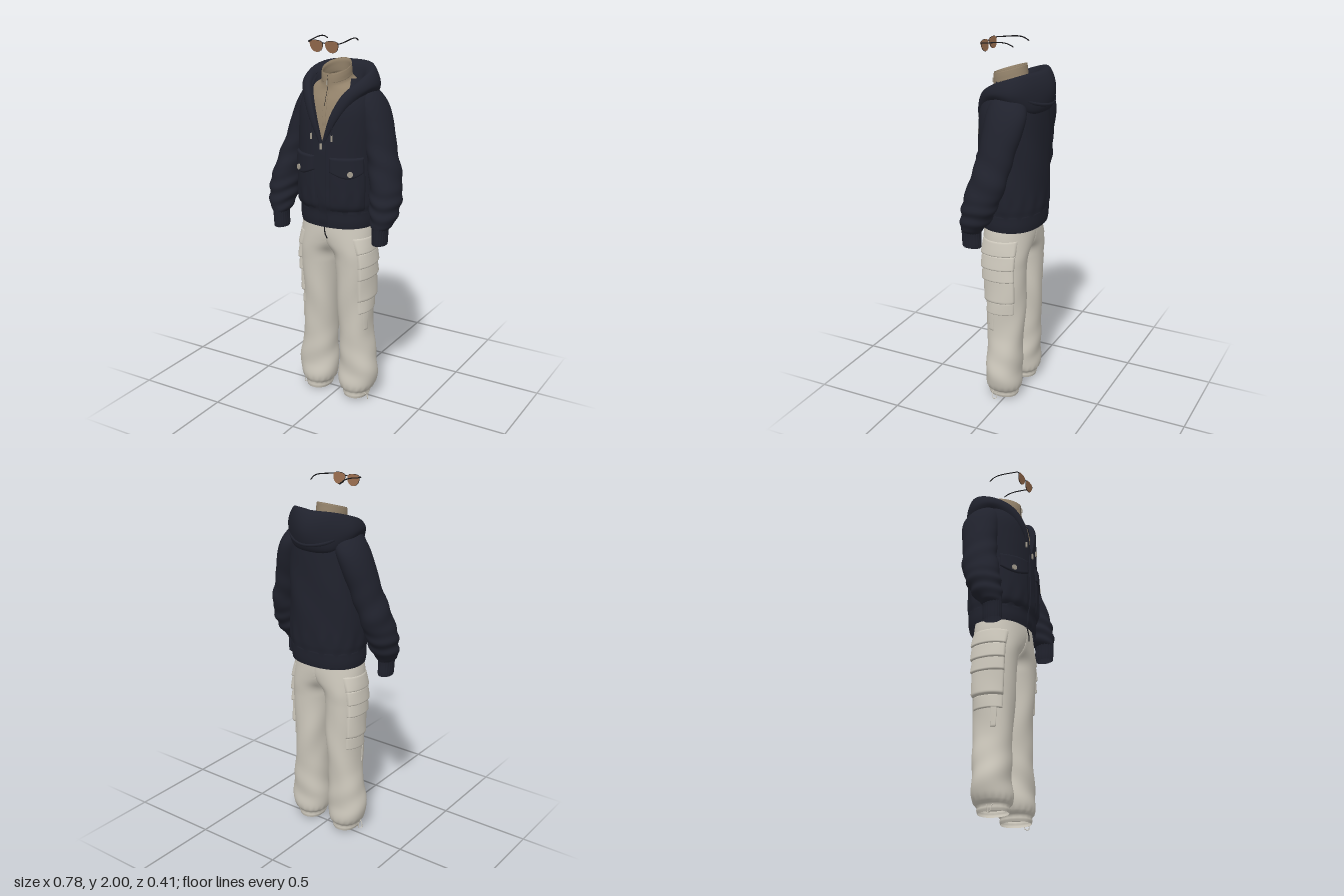
import * as THREE from 'three';
import { mergeVertices } from 'three/addons/utils/BufferGeometryUtils.js';

const PI = Math.PI;
const mat = (name, color, side = THREE.DoubleSide) => Object.assign(new THREE.MeshStandardMaterial({ color, side }), { name });

// Smooth surface from f(u, v) -> [x, y, z]; s = -1 mirrors it in x
function grid(name, f, nu, nv, material, s = 1) {
  const pos = [], idx = [];
  for (let j = 0; j <= nv; j++) for (let i = 0; i <= nu; i++) {
    const p = f(s > 0 ? i / nu : 1 - i / nu, j / nv);
    pos.push(p[0] * s, p[1], p[2]);
  }
  for (let j = 0; j < nv; j++) for (let i = 0; i < nu; i++) {
    const a = j * (nu + 1) + i, d = a + nu + 1;
    idx.push(a, a + 1, d + 1, a, d + 1, d);
  }
  let g = new THREE.BufferGeometry();
  g.setAttribute('position', new THREE.Float32BufferAttribute(pos, 3));
  g.setIndex(idx);
  g = mergeVertices(g, 1e-5);
  g.computeVertexNormals();
  const m = new THREE.Mesh(g, material);
  m.name = name;
  return m;
}

// Cross-section [y, cx, cz, rx, rz] at height y, by cubic interpolation
function section(R, y) {
  let i = 0;
  while (i < R.length - 2 && y > R[i + 1][0]) i++;
  const a = R[i], b = R[i + 1], h = b[0] - a[0], t = Math.min(1, Math.max(0, (y - a[0]) / h));
  const slope = (k, c) => {
    const p = R[Math.max(0, k - 1)], q = R[Math.min(R.length - 1, k + 1)];
    return (q[c] - p[c]) / (q[0] - p[0]);
  };
  return [1, 2, 3, 4].map(c => (2 * t ** 3 - 3 * t * t + 1) * a[c] + (t ** 3 - 2 * t * t + t) * h * slope(i, c)
    + (3 * t * t - 2 * t ** 3) * b[c] + (t ** 3 - t * t) * h * slope(i + 1, c));
}

// Point on a body at angle th (0 = front, PI/2 = +x) and height y
function point(body, th, y, off = 0) {
  const [cx, cz, rx, rz] = section(body.rings, y), e = 2 / (body.n ?? 2);
  const o = off + (body.fold ? body.fold(th, y) : 0), s = Math.sin(th), c = Math.cos(th);
  let x = cx + (rx + o) * Math.sign(s) * Math.abs(s) ** e;
  const z = cz + (rz + o) * Math.sign(c) * Math.abs(c) ** e;
  if (body.clamp) x = Math.max(x, 0.001);
  return [x, y + (body.tilt ? body.tilt(y) * (z - cz) : 0), z];
}

function loft(name, body, material, nu, nv, s = 1, open = () => 0) {
  const y0 = body.rings[0][0], y1 = body.rings.at(-1)[0];
  return grid(name, (u, v) => {
    const y = y0 + (y1 - y0) * v, o = open(y);
    return point(body, o + (2 * PI - 2 * o) * u, y);
  }, nu, nv, material, s);
}

// Raised cloth panel on a body; low(u) and high(u) give its lower and upper edges
function panel(name, body, t0, t1, low, high, thick, material, s = 1, hang = 0) {
  return grid(name, (u, v) => {
    const edge = Math.min(1, Math.min(u, 1 - u) / 0.05, v / 0.06, (1 - v) / 0.06);
    const y = low(u) + (high(u) - low(u)) * v;
    return point(body, t0 + (t1 - t0) * u, y, -0.002 + edge * (thick + hang * (1 - v)));
  }, 30, 20, material, s);
}

const bump = (y, c, w) => Math.exp(-(((y - c) / w) ** 2));

export function createModel() {
  const navy = mat('navy fleece', 0x20222d), taupe = mat('taupe knit', 0x95846c);
  const cream = mat('stone cotton', 0xcec9bd), metal = mat('metal', 0xa39c8e);
  const lensBrown = mat('brown lens', 0x976c4e), black = mat('black', 0x17171a);
  const root = new THREE.Group();
  const add = (...m) => root.add(...m);
  const solid = (name, geo, material, x, y, z, rx = 0) => {
    const m = new THREE.Mesh(geo, material);
    m.name = name; m.position.set(x, y, z); m.rotation.x = rx;
    add(m);
    return m;
  };
  const cord = (name, pts, r, material) => solid(name, new THREE.TubeGeometry(
    new THREE.CatmullRomCurve3(pts.map(p => new THREE.Vector3(...p))), 24, r, 6), material, 0, 0, 0);

  // Trousers: each leg becomes half of the hips above the crotch
  const leg = {
    n: 2.2, clamp: true,
    rings: [[0.014, 0.12, 0.022, 0.066, 0.08], [0.035, 0.12, 0.022, 0.074, 0.084], [0.046, 0.12, 0.022, 0.07, 0.08],
      [0.06, 0.12, 0.02, 0.088, 0.092], [0.1, 0.123, 0.019, 0.104, 0.1], [0.17, 0.126, 0.017, 0.108, 0.097],
      [0.26, 0.123, 0.015, 0.102, 0.096], [0.4, 0.113, 0.014, 0.09, 0.101], [0.6, 0.107, 0.015, 0.094, 0.112],
      [0.8, 0.107, 0.02, 0.103, 0.12], [0.87, 0.1, 0.02, 0.11, 0.126], [0.93, 0.06, 0.02, 0.15, 0.132],
      [1.0, 0.01, 0.02, 0.195, 0.136], [1.09, 0, 0.02, 0.188, 0.13]],
    fold: (th, y) => 0.004 * Math.sin(th * 2 + y * 30) * bump(y, 0.2, 0.13)
      + 0.003 * Math.sin(th * 3 - y * 16) * bump(y, 0.55, 0.2) + 0.002 * Math.sin(th * 16) * bump(y, 0.065, 0.02),
  };
  for (const s of [1, -1]) {
    add(loft('trouserLeg', leg, cream, 56, 110, s));
    add(grid('ankleLining', (u, v) => {
      const p = point(leg, 2 * PI * u, 0.046);
      return [0.12 + (p[0] - 0.12) * (1 - v), 0.046, 0.022 + (p[2] - 0.022) * (1 - v)];
    }, 40, 2, cream, s));
    // Tiered cargo pocket with overlapping flaps and a strap
    const tiers = [[0.53, 0.61, 0.004, 0.004], [0.6, 0.75, 0.008, 0.01], [0.73, 0.82, 0.008, 0.012],
      [0.8, 0.89, 0.008, 0.012], [0.88, 0.97, 0.004, 0.012]];
    for (const [a, b, t, h] of tiers)
      add(panel('cargoPocketTier', leg, 0.65, 2.4, u => a + 0.012 * u, u => b + 0.006 * u, t, cream, s, h));
    add(panel('pocketStrap', leg, 1.0, 1.3, () => 0.43, () => 0.55, 0.006, cream, s));
    // Ankle drawcord
    cord('ankleCord', [[0.18, 0.05, 0.06], [0.2, 0.035, 0.055], [0.206, 0.004, 0.05], [0.198, 0.006, 0.035],
      [0.198, 0.045, 0.03]].map(([x, y, z]) => [x * s, y, z]), 0.0022, cream);
  }
  cord('waistCord', [[-0.004, 1.04, 0.16], [0.004, 0.99, 0.167], [0.014, 0.962, 0.163]], 0.003, black);

  // High-necked knit top
  const shirt = {
    rings: [[1.05, 0, 0.015, 0.17, 0.13], [1.4, 0, 0.02, 0.18, 0.145], [1.55, 0, 0.02, 0.18, 0.15],
      [1.66, 0, 0.018, 0.17, 0.138], [1.73, 0, 0.02, 0.148, 0.117], [1.762, 0, 0.026, 0.12, 0.102],
      [1.785, 0, 0.032, 0.082, 0.094], [1.8, 0, 0.034, 0.075, 0.092], [1.83, 0, 0.036, 0.073, 0.09], [1.855, 0, 0.036, 0.07, 0.088]],
    tilt: y => -0.32 * Math.min(1, Math.max(0, (y - 1.7) / 0.12)),
  };
  add(loft('knitTop', shirt, taupe, 56, 80));
  add(grid('collarLining', (u, v) => point(shirt, -2 * PI * u, 1.855 - 0.06 * v, -0.006 * Math.min(1, v * 6)), 48, 8, taupe));
  add(panel('collarFold', shirt, 0, 2 * PI, () => 1.8, () => 1.853, 0.003, taupe));
  add(panel('knitTopPlacket', shirt, -0.06, 0.06, () => 1.56, () => 1.85, 0.004, taupe));
  add(panel('knitTopZip', shirt, -0.004, 0.004, () => 1.65, () => 1.85, 0.006, black));
  solid('knitTopZipPull', new THREE.BoxGeometry(0.008, 0.022, 0.004), metal, 0, 1.78, 0.136);

  // Jacket body, open in a V above the zip
  const torso = {
    n: 2.25,
    rings: [[1.025, 0, 0.01, 0.204, 0.16], [1.06, 0, 0.01, 0.208, 0.165], [1.115, 0, 0.01, 0.208, 0.168],
      [1.15, 0, 0.014, 0.214, 0.176], [1.25, 0, 0.015, 0.216, 0.178], [1.4, 0, 0.014, 0.212, 0.177],
      [1.55, 0, 0.014, 0.212, 0.172], [1.65, 0, 0.011, 0.206, 0.165], [1.72, 0, 0.0, 0.187, 0.148],
      [1.77, 0, -0.01, 0.155, 0.122], [1.8, 0, -0.01, 0.135, 0.105]],
    fold: (th, y) => 0.003 * Math.sin(th * 15) * bump(y, 1.17, 0.05)
      + 0.004 * Math.sin(th * 5 + y * 14) * bump(y, 1.4, 0.18) * (1 - Math.cos(th)) / 2,
  };
  add(loft('jacketBody', torso, navy, 96, 80, 1, y => Math.max(0, (y - 1.49) / 0.28 * 0.72)));
  add(panel('hemBand', torso, 0.05, 2 * PI - 0.05, () => 1.026, () => 1.118, 0.003, navy));
  add(panel('zipPlacket', torso, -0.09, 0.09, () => 1.03, () => 1.48, 0.006, navy));
  solid('jacketZipPull', new THREE.BoxGeometry(0.012, 0.03, 0.006), metal, 0, 1.465, 0.198);

  // Sleeve and cuff
  const sleeve = {
    rings: [[1.05, 0.304, 0.113, 0.036, 0.05], [1.07, 0.308, 0.108, 0.056, 0.06], [1.12, 0.309, 0.086, 0.072, 0.079],
      [1.2, 0.306, 0.062, 0.081, 0.094], [1.32, 0.284, 0.028, 0.08, 0.1], [1.45, 0.243, 0.002, 0.078, 0.096],
      [1.58, 0.205, -0.02, 0.079, 0.106], [1.66, 0.175, -0.026, 0.077, 0.107], [1.72, 0.145, -0.022, 0.066, 0.087],
      [1.765, 0.12, -0.02, 0.03, 0.05]],
    fold: (th, y) => 0.005 * Math.sin(y * 85 + 1.6 * Math.sin(th) + Math.cos(2 * th)) * bump(y, 1.15, 0.09)
      + 0.004 * Math.sin(y * 45 + 2 * th) * bump(y, 1.36, 0.12),
  };
  const cuff = {
    rings: [[0.968, 0.302, 0.113, 0.036, 0.05], [0.985, 0.302, 0.113, 0.038, 0.052], [1.04, 0.304, 0.114, 0.039, 0.052],
      [1.08, 0.306, 0.112, 0.045, 0.055]],
    fold: th => 0.0012 * Math.sin(th * 20),
  };
  for (const s of [1, -1]) {
    add(loft('sleeve', sleeve, navy, 48, 90, s), loft('cuff', cuff, navy, 80, 8, s));
    // Front pocket with pointed flap and snap
    add(panel('pocketBag', torso, 0.16, 1.2, () => 1.118, () => 1.4, 0.007, navy, s));
    add(panel('pocketFlap', torso, 0.16, 1.15, u => 1.335 - 0.035 * Math.sin(PI * u), () => 1.412, 0.012, navy, s, 0.003));
    const [bx, by, bz] = point(torso, 0.7, 1.33, 0.014);
    const snap = solid('pocketSnap', new THREE.CylinderGeometry(0.015, 0.015, 0.008, 20).rotateX(PI / 2), metal, bx * s, by, bz);
    snap.rotation.y = 0.45 * s;
    // Hood drawstring and its tip
    cord('hoodCord', [[0.064, 1.6, 0.186], [0.062, 1.56, 0.19], [0.06, 1.525, 0.192]].map(p => [p[0] * s, p[1], p[2]]), 0.0025, navy);
    solid('hoodCordTip', new THREE.CylinderGeometry(0.0055, 0.0055, 0.03, 10), metal, 0.06 * s, 1.512, 0.192);
  }

  // Hood: lofted across guide curves, each listed from front to back on one side
  const guides = [
    [[0.004, 1.49, 0.178], [0.045, 1.62, 0.162], [0.085, 1.72, 0.125], [0.117, 1.745, 0.06], [0.12, 1.765, 0], [0.08, 1.78, -0.055], [0, 1.785, -0.073]],
    [[0.004, 1.49, 0.19], [0.05, 1.63, 0.187], [0.1, 1.735, 0.142], [0.133, 1.782, 0.07], [0.14, 1.812, -0.01], [0.1, 1.842, -0.085], [0, 1.848, -0.112]],
    [[0.01, 1.485, 0.192], [0.064, 1.62, 0.19], [0.122, 1.735, 0.142], [0.162, 1.797, 0.06], [0.17, 1.836, -0.04], [0.12, 1.858, -0.115], [0, 1.86, -0.163]],
    [[0.014, 1.48, 0.19], [0.074, 1.61, 0.187], [0.142, 1.725, 0.133], [0.187, 1.782, 0.05], [0.192, 1.806, -0.055], [0.115, 1.82, -0.147], [0, 1.818, -0.196]],
    [[0.014, 1.475, 0.188], [0.078, 1.6, 0.182], [0.148, 1.71, 0.124], [0.198, 1.755, 0.04], [0.2, 1.755, -0.065], [0.115, 1.75, -0.158], [0, 1.75, -0.208]],
    [[0.012, 1.47, 0.182], [0.076, 1.59, 0.17], [0.145, 1.69, 0.11], [0.18, 1.725, 0.035], [0.18, 1.705, -0.06], [0.115, 1.675, -0.144], [0, 1.665, -0.182]],
    [[0.01, 1.47, 0.17], [0.07, 1.58, 0.16], [0.135, 1.68, 0.105], [0.16, 1.705, 0.03], [0.155, 1.685, -0.045], [0.11, 1.65, -0.12], [0, 1.645, -0.14]],
  ].map(h => new THREE.CatmullRomCurve3([...h.map(([x, y, z]) => [-x, y, z]), ...h.slice(0, -1).reverse()]
    .map(p => new THREE.Vector3(...p))));
  add(grid('hood', (u, v) => new THREE.CatmullRomCurve3(guides.map(c => c.getPoint(u))).getPoint(v).toArray(), 72, 36, navy));
  // Draped fold across the back of the hood
  cord('hoodFold', [[-0.17, 1.75, -0.088], [-0.1, 1.71, -0.162], [0, 1.695, -0.194], [0.1, 1.71, -0.162], [0.17, 1.75, -0.088]], 0.01, navy);

  // Sunglasses: lenses lean with the brow forward
  const lens = new THREE.Shape();
  lens.moveTo(-0.034, 0.018);
  lens.bezierCurveTo(-0.024, 0.03, 0.024, 0.031, 0.037, 0.02);
  lens.bezierCurveTo(0.042, -0.012, 0.024, -0.031, 0.002, -0.031);
  lens.bezierCurveTo(-0.022, -0.031, -0.039, -0.012, -0.034, 0.018);
  for (const s of [1, -1]) {
    const outline = new THREE.Shape(lens.getPoints(12).map(p => new THREE.Vector2(p.x * s, p.y)));
    const g = new THREE.ExtrudeGeometry(outline, { depth: 0.006, bevelEnabled: false });
    solid('lens', g, lensBrown, 0.043 * s, 1.966, 0.156, 0.15);
    cord('lensRim', lens.getPoints(8).map(p => [(0.043 + p.x) * s, 1.966 + p.y, 0.159 + 0.15 * p.y]), 0.0014, black);
    cord('temple', [[0.076, 1.982, 0.162], [0.09, 1.984, 0.16], [0.095, 1.987, 0.13], [0.096, 1.997, 0.04], [0.094, 1.993, 0.005],
      [0.09, 1.98, -0.024]].map(p => [p[0] * s, p[1], p[2]]), 0.003, black);
  }
  cord('bridge', [[-0.012, 1.978, 0.16], [0, 1.982, 0.163], [0.012, 1.978, 0.16]], 0.0025, black);
  return root;
}
